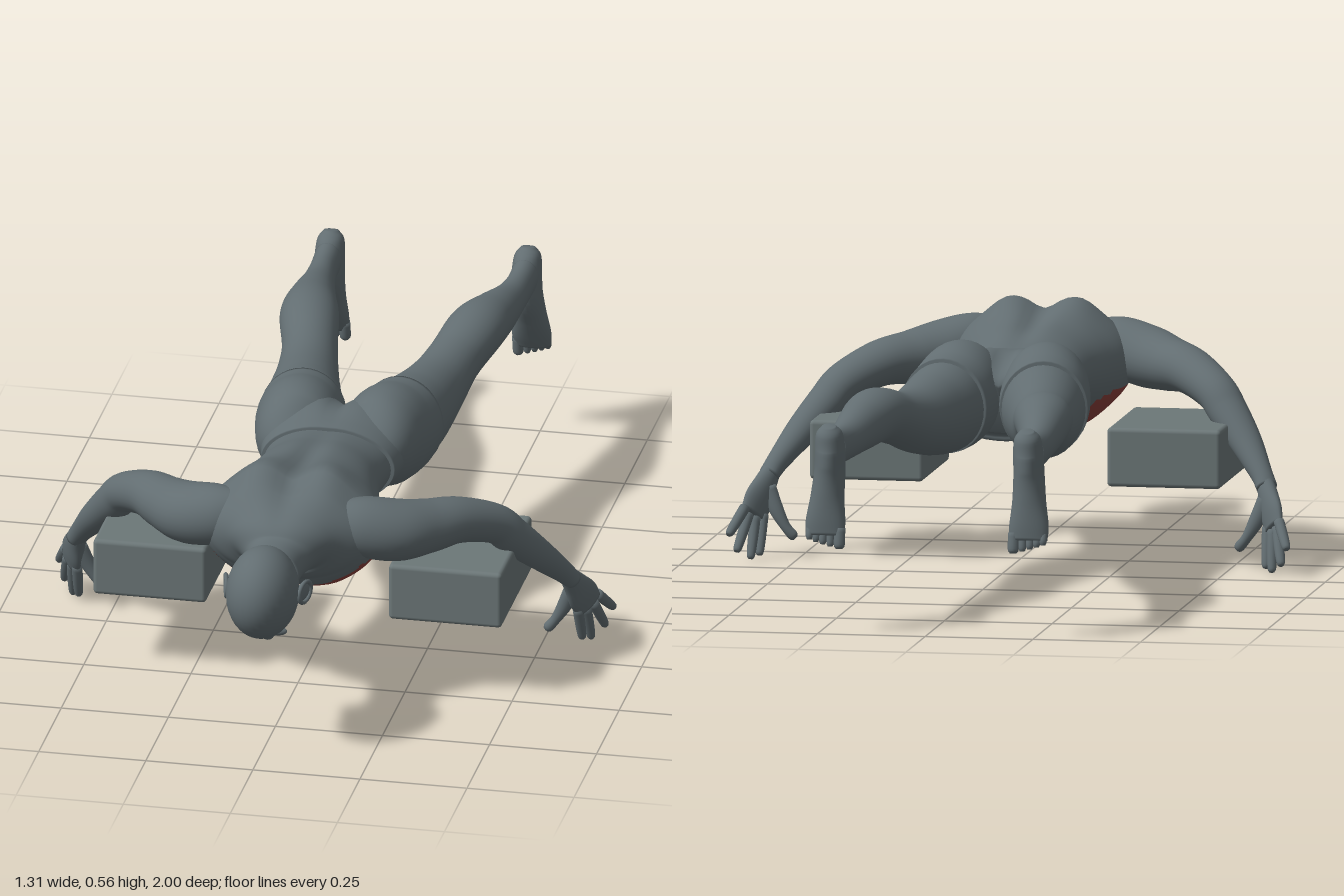
import * as THREE from 'three';
import { RoundedBoxGeometry } from 'three/addons/geometries/RoundedBoxGeometry.js';

const mat = (name, hex) => {
  const m = new THREE.MeshStandardMaterial({ color: hex });
  m.name = name;
  return m;
};
const bump = (v, centre, width) => Math.exp(-(((v - centre) / width) ** 2));

// Closed smooth loft through rings [x, y, z, rx, ry]; ry lies along "up"
function loft(rings, { up = [0, 1, 0], seg = 24, steps = 6, shape, paint } = {}) {
  const path = new THREE.CatmullRomCurve3(
    rings.map(r => new THREE.Vector3(r[0], r[1], r[2])), false, 'catmullrom');
  const radii = new THREE.CatmullRomCurve3(
    rings.map(r => new THREE.Vector3(r[3], r[4], 0)), false, 'catmullrom');
  const n = (rings.length - 1) * steps;
  const upV = new THREE.Vector3(...up);
  const pos = [];
  for (let i = -1; i <= n + 1; i++) {
    const t = Math.min(Math.max(i / n, 0), 1);
    const end = i < 0 || i > n ? 0.001 : 1;
    const c = path.getPoint(t), r = radii.getPoint(t), T = path.getTangent(t);
    const S = new THREE.Vector3().crossVectors(upV, T).normalize();
    const U = new THREE.Vector3().crossVectors(T, S);
    for (let j = 0; j < seg; j++) {
      const a = (j / seg) * Math.PI * 2;
      const p = c.clone().addScaledVector(S, Math.cos(a) * r.x * end)
        .addScaledVector(U, Math.sin(a) * r.y * end);
      if (shape && end === 1) shape(p, c);
      pos.push(p.x, p.y, p.z);
    }
  }
  const plain = [], painted = [];
  for (let i = 0; i < n + 2; i++) {
    for (let j = 0; j < seg; j++) {
      const a = i * seg + j, b = i * seg + ((j + 1) % seg), c = a + seg, d = b + seg;
      const mid = k => (pos[a * 3 + k] + pos[d * 3 + k]) / 2;
      (paint && paint(mid(0), mid(1), mid(2)) ? painted : plain).push(a, b, c, b, d, c);
    }
  }
  const g = new THREE.BufferGeometry();
  g.setAttribute('position', new THREE.Float32BufferAttribute(pos, 3));
  g.setIndex([...plain, ...painted]);
  if (paint) {
    g.addGroup(0, plain.length, 0);
    g.addGroup(plain.length, painted.length, 1);
  }
  g.computeVertexNormals();
  return g;
}

export function createModel() {
  const body = mat('slate body', 0x626d71);
  const chest = mat('muted red chest', 0x8c403b);
  const blockMat = mat('grey block', 0x6c7778);
  const model = new THREE.Group();
  const add = (name, geo, m = body, parent = model) => {
    const mesh = new THREE.Mesh(geo, m);
    mesh.name = name;
    parent.add(mesh);
    return mesh;
  };
  const ball = (name, p, r, parent) => {
    const b = add(name, new THREE.SphereGeometry(1, 32, 24), body, parent);
    b.position.set(...p);
    b.scale.set(...r);
    return b;
  };
  const mirror = (pts, s) => pts.map(p => [p[0] * s, ...p.slice(1)]);

  // Torso and neck: spine groove and shoulder blades above, chest muscles below
  const torsoRings = [
    [0.12, 0.41, 0.148, 0.088], [0.17, 0.41, 0.148, 0.088], [0.25, 0.415, 0.143, 0.098],
    [0.33, 0.42, 0.153, 0.112], [0.42, 0.418, 0.178, 0.126], [0.50, 0.418, 0.203, 0.136],
    [0.57, 0.425, 0.208, 0.133], [0.63, 0.435, 0.185, 0.105], [0.68, 0.435, 0.125, 0.083],
    [0.73, 0.418, 0.074, 0.063], [0.80, 0.41, 0.062, 0.062],
  ].map(([z, y, rx, ry]) => [0, y, z, rx, ry]);
  add('torso', loft(torsoRings, {
    seg: 72, steps: 8,
    shape: (p, c) => {
      const x = Math.abs(p.x), f = Math.min(Math.abs(p.y - c.y) / 0.08, 1);
      if (p.y > c.y) {
        p.y += f * (0.022 * bump(x, 0.085, 0.05) * bump(p.z, 0.55, 0.1)
          - 0.022 * bump(x, 0, 0.03) * bump(p.z, 0.45, 0.2));
      } else {
        p.y += f * (0.015 * bump(x, 0, 0.022) * bump(p.z, 0.5, 0.12)
          - 0.017 * bump(x, 0.09, 0.06) * bump(p.z, 0.5, 0.08));
      }
    },
    paint: (x, y, z) => z > 0.39 && z < 0.61 && y < 0.375 - 1.2 * (z - 0.54) ** 2,
  }), [body, chest]);

  // Shorts
  add('shortsHips', loft([
    [0, 0.41, 0.172, 0.155, 0.094], [0, 0.412, 0.13, 0.164, 0.1], [0, 0.415, 0.06, 0.178, 0.108],
    [0, 0.412, 0.01, 0.165, 0.1], [0, 0.40, -0.025, 0.12, 0.07],
  ], {
    seg: 48,
    shape: (p, c) => { if (p.y > c.y) p.y -= 0.03 * bump(p.x, 0, 0.025) * bump(p.z, 0, 0.1); },
  }));

  // Head, with the face turned down
  const head = new THREE.Group();
  head.name = 'head';
  model.add(head);
  ball('skull', [0, 0.405, 0.89], [0.083, 0.107, 0.11], head);
  ball('jaw', [0, 0.352, 0.828], [0.063, 0.072, 0.073], head);
  ball('chin', [0, 0.297, 0.772], [0.026, 0.02, 0.02], head);
  ball('lips', [0, 0.284, 0.8], [0.024, 0.009, 0.011], head);
  add('nose', loft([
    [0, 0.302, 0.872, 0.008, 0.01], [0, 0.286, 0.85, 0.011, 0.014],
    [0, 0.276, 0.83, 0.016, 0.014], [0, 0.286, 0.82, 0.012, 0.008],
  ], { seg: 16 }), body, head);

  for (const s of [1, -1]) {
    const side = s > 0 ? 'left' : 'right';
    const limb = (name, pts, o = {}) => add(side + name, loft(mirror(pts, s), o));

    // Face details
    ball(side + 'Eye', [0.03 * s, 0.306, 0.866], [0.015, 0.012, 0.009], head);
    ball(side + 'Brow', [0.032 * s, 0.309, 0.885], [0.024, 0.011, 0.009], head);
    const ear = ball(side + 'Ear', [0.086 * s, 0.4, 0.858], [0.009, 0.022, 0.034], head);
    ear.rotation.y = -0.25 * s;
    const rim = add(side + 'EarRim', new THREE.TorusGeometry(0.024, 0.005, 10, 24), body, head);
    rim.position.set(0.092 * s, 0.4, 0.86);
    rim.rotation.y = Math.PI / 2 - 0.25 * s;
    rim.scale.x = 1.25;

    // Shorts leg and leg
    limb('ShortsLeg', [
      [0.08, 0.43, 0.13, 0.06, 0.05], [0.095, 0.428, 0.08, 0.088, 0.1],
      [0.1, 0.425, 0.02, 0.1, 0.118], [0.108, 0.412, -0.05, 0.104, 0.115],
      [0.116, 0.407, -0.108, 0.1, 0.11],
    ], { seg: 36 });
    limb('Leg', [
      [0.108, 0.41, -0.04, 0.09, 0.1], [0.116, 0.405, -0.11, 0.096, 0.105],
      [0.132, 0.401, -0.2, 0.086, 0.094], [0.15, 0.406, -0.32, 0.072, 0.075],
      [0.168, 0.425, -0.43, 0.064, 0.062], [0.194, 0.45, -0.55, 0.068, 0.062],
      [0.21, 0.44, -0.66, 0.055, 0.056], [0.222, 0.425, -0.78, 0.039, 0.044],
      [0.228, 0.422, -0.86, 0.032, 0.042], [0.23, 0.425, -0.93, 0.032, 0.045],
    ], { seg: 32 });

    // Foot pointing down, sole to the back
    limb('Foot', [
      [0.23, 0.483, -0.965, 0.016, 0.016], [0.23, 0.465, -0.96, 0.03, 0.034],
      [0.23, 0.43, -0.948, 0.034, 0.05], [0.231, 0.38, -0.943, 0.035, 0.054],
      [0.234, 0.32, -0.957, 0.039, 0.039], [0.236, 0.265, -0.972, 0.046, 0.025],
      [0.236, 0.232, -0.981, 0.044, 0.015],
    ], { up: [0, 0, 1] });
    for (let i = 0; i < 5; i++) {
      const x = [0.202, 0.223, 0.24, 0.256, 0.271][i], r = i ? 0.009 : 0.013;
      const tip = 0.203 + i * 0.005;
      limb('Toe' + (i + 1), [
        [x, 0.25, -0.978, r, r], [x, tip + 0.01, -0.985, r, r], [x, tip, -0.987, r * 0.6, r * 0.6],
      ], { up: [0, 0, 1], seg: 12, steps: 4 });
    }

    // Arm
    limb('Arm', [
      [0.11, 0.462, 0.595, 0.045, 0.055], [0.17, 0.452, 0.585, 0.068, 0.07],
      [0.24, 0.436, 0.553, 0.077, 0.071], [0.3, 0.428, 0.5, 0.068, 0.062],
      [0.36, 0.422, 0.438, 0.058, 0.053], [0.43, 0.388, 0.366, 0.049, 0.046],
      [0.465, 0.347, 0.334, 0.046, 0.044], [0.515, 0.285, 0.285, 0.038, 0.036],
      [0.56, 0.222, 0.23, 0.026, 0.026], [0.578, 0.192, 0.207, 0.025, 0.022],
    ], { seg: 28 });

    // Hand
    const palmUp = [0.8 * s, -0.13, 0.6];
    limb('Palm', [
      [0.572, 0.203, 0.215, 0.022, 0.02], [0.583, 0.175, 0.194, 0.03, 0.02],
      [0.595, 0.14, 0.17, 0.04, 0.018], [0.605, 0.108, 0.148, 0.037, 0.013],
    ], { up: palmUp });
    const fingers = [
      [[0.585, 0.105, 0.172], [0.588, 0.016, 0.137]],
      [[0.6, 0.102, 0.155], [0.605, 0.01, 0.118]],
      [[0.613, 0.11, 0.14], [0.632, 0.03, 0.088]],
      [[0.62, 0.126, 0.128], [0.648, 0.07, 0.072]],
    ];
    fingers.forEach(([a, b], i) => {
      const at = t => a.map((v, k) => v + (b[k] - v) * t);
      limb('Finger' + (i + 1), [
        [...at(0), 0.013, 0.012], [...at(0.5), 0.012, 0.012],
        [...at(0.9), 0.01, 0.01], [...at(1), 0.006, 0.006],
      ], { up: palmUp, seg: 12, steps: 4 });
    });
    limb('Thumb', [
      [0.578, 0.165, 0.19, 0.02, 0.016], [0.556, 0.115, 0.182, 0.017, 0.014],
      [0.535, 0.078, 0.18, 0.012, 0.012], [0.518, 0.057, 0.182, 0.012, 0.011],
      [0.512, 0.051, 0.183, 0.007, 0.006],
    ], { up: [0, 0, 1], seg: 16 });

    // Exercise block
    const block = add(side + 'Block', new RoundedBoxGeometry(0.264, 0.136, 0.344, 3, 0.01), blockMat);
    block.position.set(0.345 * s, 0.258, 0.338);
  }
  return model;
}
